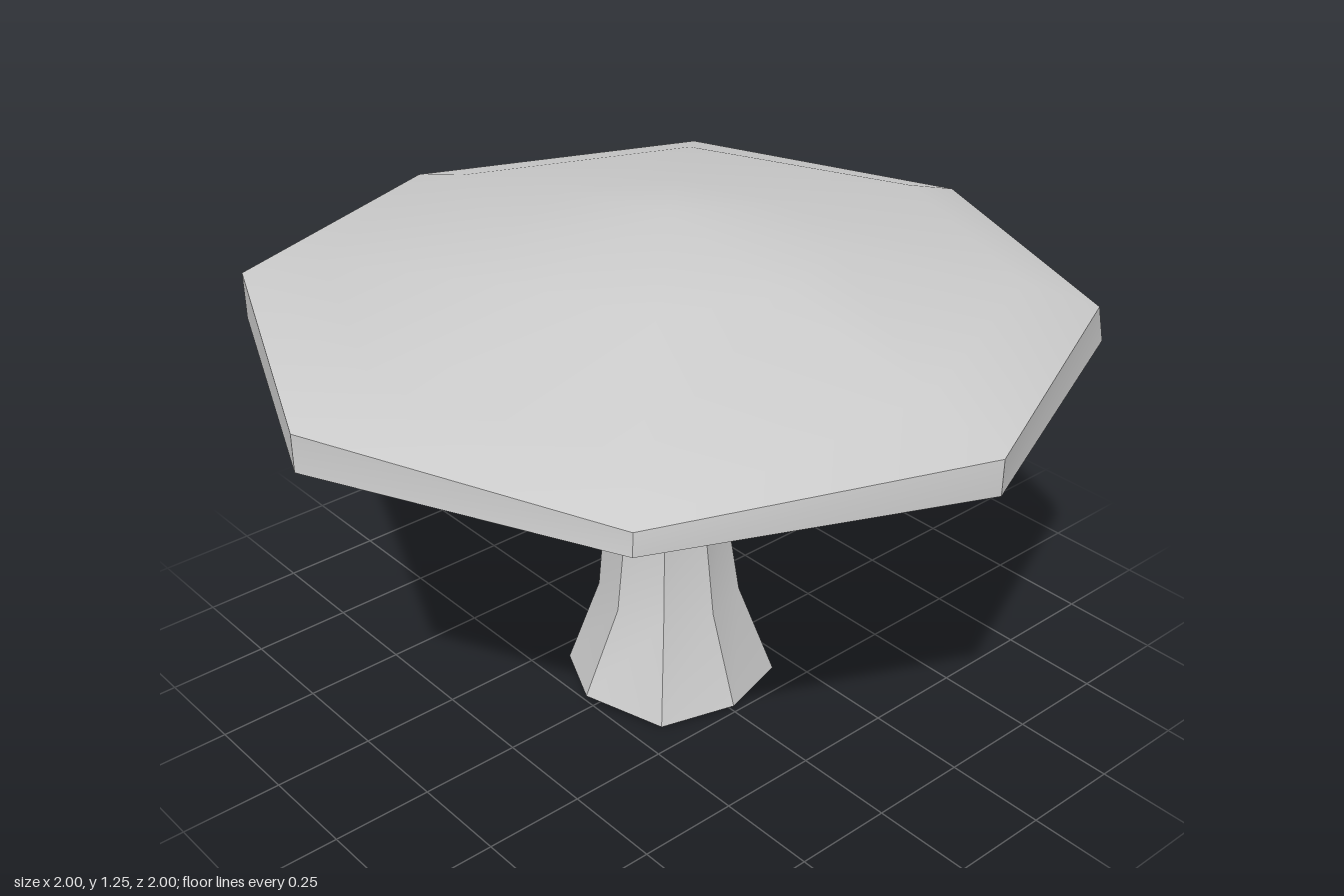
import * as THREE from 'three';
import { toCreasedNormals } from 'three/addons/utils/BufferGeometryUtils.js';

const SIDES = 8;

// Skins octagonal rings [radius, height]; either value may be a list per corner.
// Corners run from +x towards +z; rings run from the bottom up along the outside.
function loft(rings) {
  const pick = (v, i) => (Array.isArray(v) ? v[i] : v);
  const point = ([r, y], k) => {
    const i = k % SIDES;
    const a = (i / SIDES) * Math.PI * 2;
    return [Math.cos(a) * pick(r, i), pick(y, i), Math.sin(a) * pick(r, i)];
  };
  const positions = [];
  for (let j = 0; j < rings.length - 1; j++) {
    for (let i = 0; i < SIDES; i++) {
      const a = point(rings[j], i), b = point(rings[j + 1], i);
      const c = point(rings[j], i + 1), d = point(rings[j + 1], i + 1);
      if (rings[j][0] !== 0) positions.push(...a, ...b, ...c);
      if (rings[j + 1][0] !== 0) positions.push(...c, ...b, ...d);
    }
  }
  const geometry = new THREE.BufferGeometry();
  geometry.setAttribute('position', new THREE.Float32BufferAttribute(positions, 3));
  return toCreasedNormals(geometry, 0.52);
}

export function createModel() {
  const group = new THREE.Group();
  const material = new THREE.MeshStandardMaterial({ color: 0xcccccc });
  const add = (name, rings) => {
    const mesh = new THREE.Mesh(loft(rings), material);
    mesh.name = name;
    group.add(mesh);
  };

  // Stem: flared foot with an uneven lower edge, narrow waist, top flaring into the hollow cap
  add('stem', [
    [0, 0.015],
    [[0.245, 0.25, 0.27, 0.255, 0.26, 0.26, 0.26, 0.265], [0.015, 0, 0.04, 0.02, 0.025, 0.01, 0.03, 0.01]],
    [[0.165, 0.175, 0.165, 0.175, 0.17, 0.175, 0.145, 0.175], 0.25],
    [[0.125, 0.13, 0.13, 0.15, 0.14, 0.145, 0.135, 0.13], 0.55],
    [0.15, 0.81],
    [0.172, 0.9],
    [0.215, 0.95],
    [0.32, 1.06],
  ]);

  // Cap: hollow underside behind a bevelled lip, wobbly rim, low pointed dome
  add('cap', [
    [0, 1.07],
    [0.3, 1.05],
    [0.92, 0.945],
    [[1, 0.97, 1, 0.99, 1, 0.985, 1, 0.99], [0.975, 0.97, 0.97, 0.96, 0.97, 0.965, 0.975, 0.97]],
    [[1, 0.96, 1, 0.99, 1, 0.985, 0.965, 0.975], [1.06, 1.02, 1.06, 1.075, 1.04, 1.045, 1.05, 1.055]],
    [0.8, [1.12, 1.09, 1.1, 1.11, 1.1, 1.1, 1.105, 1.11]],
    [0.38, [1.19, 1.18, 1.185, 1.18, 1.19, 1.18, 1.17, 1.18]],
    [0, 1.255],
  ]);

  return group;
}
